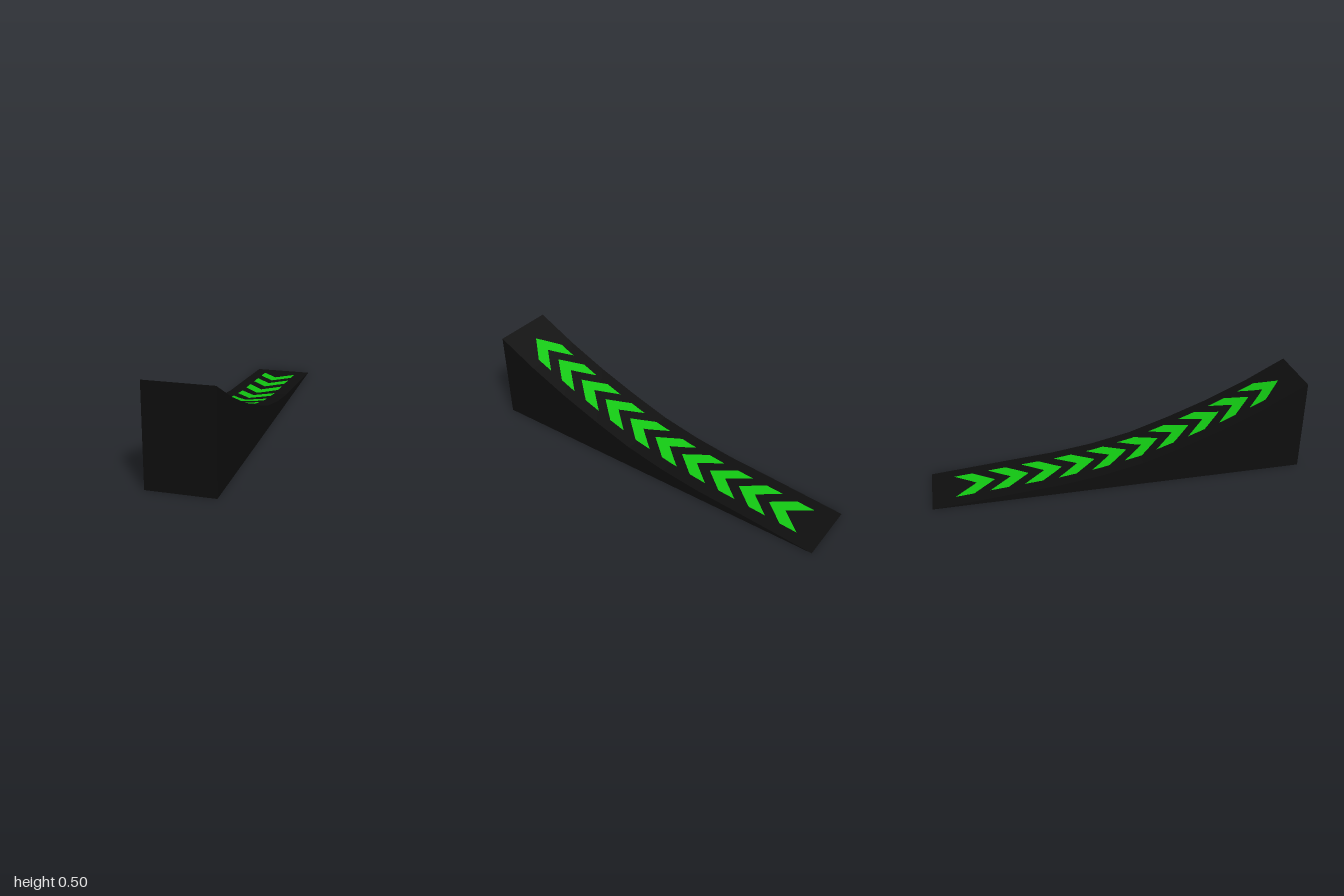
import * as THREE from 'three';

const WIDTH = 0.333;
// deck heights at equal steps from the back (z = -1) to the front (z = 1)
const HEIGHTS = [0, 0.018, 0.036, 0.053, 0.083, 0.13, 0.203, 0.286, 0.384, 0.5];
const PROFILE = HEIGHTS.map((y, i) => new THREE.Vector2(-1 + (2 * i) / (HEIGHTS.length - 1), y));

// point (z, y) at a distance measured along the deck from the back edge
function deckPoint(s) {
  for (let i = 1; i < PROFILE.length; i++) {
    const a = PROFILE[i - 1], b = PROFILE[i];
    const length = a.distanceTo(b);
    if (s <= length || i === PROFILE.length - 1) return a.clone().lerp(b, s / length);
    s -= length;
  }
}

// moves every vertex of a plane by a rule
function bend(geometry, rule) {
  const p = geometry.attributes.position;
  for (let i = 0; i < p.count; i++) {
    const [x, y, z] = rule(p.getX(i), p.getY(i));
    p.setXYZ(i, x, y, z);
  }
  geometry.computeVertexNormals();
  return geometry;
}

export function createModel() {
  const model = new THREE.Group();
  const black = new THREE.MeshStandardMaterial({ color: 0x0e0e0e, side: THREE.DoubleSide, flatShading: true });
  const green = new THREE.MeshStandardMaterial({ color: 0x12c812, side: THREE.DoubleSide, flatShading: true });
  const add = (name, geometry, material) => {
    const mesh = new THREE.Mesh(geometry, material);
    mesh.name = name;
    model.add(mesh);
    return mesh;
  };

  // curved deck that turns down into the upright front wall; the underside is open
  const path = [...PROFILE, new THREE.Vector2(1, 0)];
  const rows = path.length - 1;
  add('deckAndFrontWall', bend(new THREE.PlaneGeometry(WIDTH, 1, 1, rows), (x, y) => {
    const p = path[Math.round((0.5 - y) * rows)];
    return [x, p.y, p.x];
  }), black);

  // side walls
  const outline = new THREE.Shape(path);
  for (const side of [1, -1]) {
    const wall = add(side > 0 ? 'leftWall' : 'rightWall',
      new THREE.ShapeGeometry(outline).rotateY(-Math.PI / 2), black);
    wall.position.x = side * WIDTH / 2;
  }

  // chevrons laid on the deck, evenly spaced along its length
  const half = 0.097, thickness = 0.098, sweep = 0.117;
  for (let i = 0; i < 10; i++) {
    const start = 0.12 + i * 0.1825;
    add('chevron' + (i + 1), bend(new THREE.PlaneGeometry(half * 2, 1, 24, 6), (x, y) => {
      const s = start + (0.5 - y) * thickness + sweep * (1 - Math.abs(x) / half);
      const p = deckPoint(s);
      return [x, p.y + 0.003, p.x];
    }), green);
  }
  return model;
}
